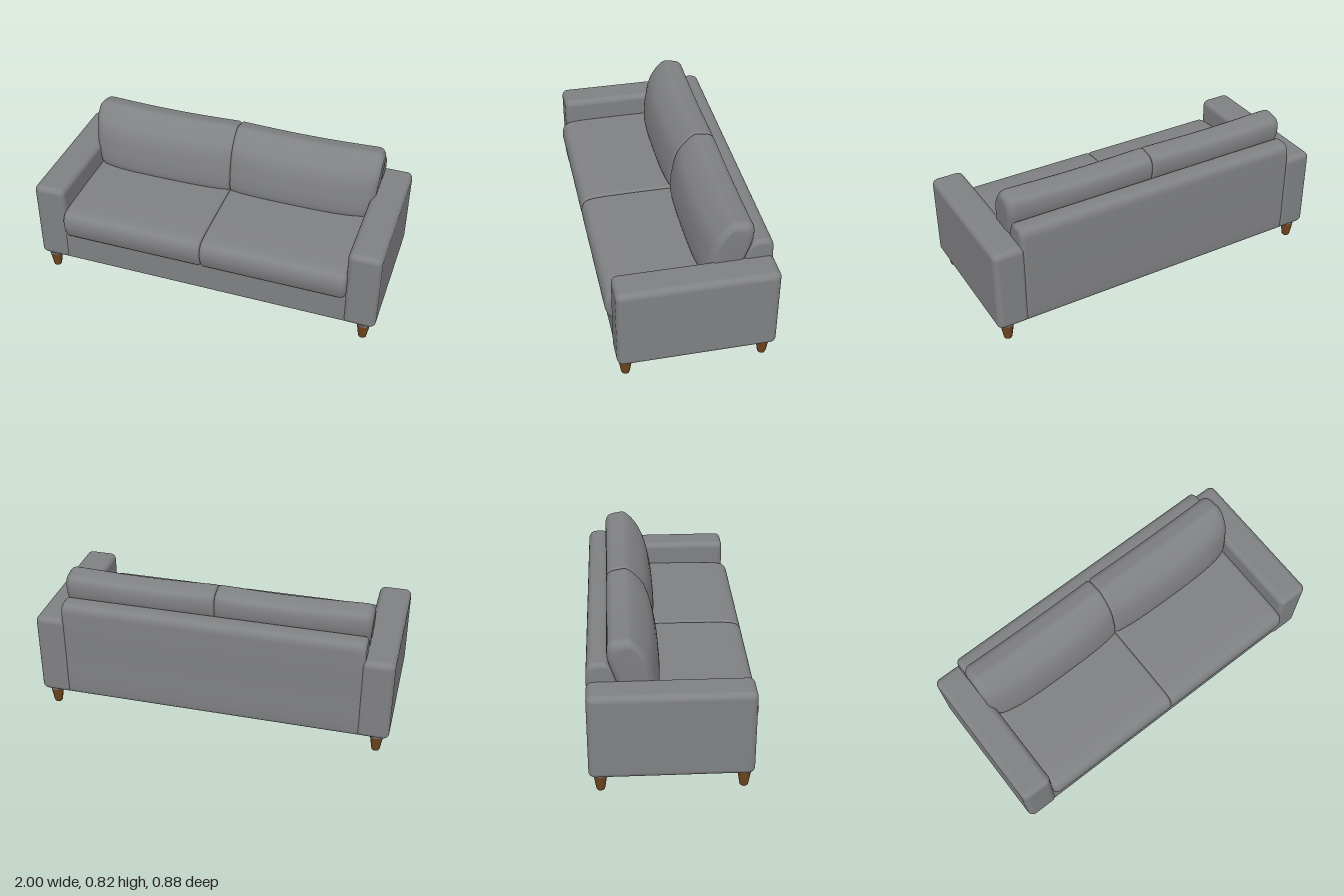
import * as THREE from 'three';
import { RoundedBoxGeometry } from 'three/addons/geometries/RoundedBoxGeometry.js';

// Loft a closed [z, y] profile along x from x0 to x1, with ends rounded by r0 and r1.
// shape(v, u) may move each point; u runs 0..1 along the length.
function loft(profile, x0, x1, r0, r1, shape = () => {}) {
  const n = 72;
  const curve = new THREE.CatmullRomCurve3(profile.map(([z, y]) => new THREE.Vector3(0, y, z)), true, 'centripetal');
  const ring = curve.getPoints(n).slice(0, n);
  const box = new THREE.Box3().setFromPoints(ring);
  const c = box.getCenter(new THREE.Vector3());
  const h = box.getSize(new THREE.Vector3()).multiplyScalar(0.5);

  // stations: [x, inset]
  const stations = [];
  const steps = 6;
  for (let i = 0; i <= steps; i++) {
    const a = (i / steps) * Math.PI / 2;
    stations.push([x0 + r0 * (1 - Math.sin(a)), r0 * (1 - Math.cos(a))]);
  }
  stations.reverse();
  stations.forEach((s, i) => { s[0] = x0 + r0 * (1 - Math.cos((i / steps) * Math.PI / 2)); s[1] = r0 * (1 - Math.sin((i / steps) * Math.PI / 2)); });
  for (let i = 1; i < 24; i++) stations.push([THREE.MathUtils.lerp(x0 + r0, x1 - r1, i / 24), 0]);
  for (let i = 0; i <= steps; i++) {
    const a = (i / steps) * Math.PI / 2;
    stations.push([x1 - r1 * (1 - Math.sin(a)), r1 * (1 - Math.cos(a))]);
  }

  const pos = [], index = [];
  const push = (x, y, z) => {
    const v = new THREE.Vector3(x, y, z);
    shape(v, (x - x0) / (x1 - x0));
    pos.push(v.x, v.y, v.z);
  };
  for (const [x, d] of stations) {
    for (const p of ring) push(x, c.y + (p.y - c.y) * (1 - d / h.y), c.z + (p.z - c.z) * (1 - d / h.z));
  }
  const m = stations.length;
  for (let i = 0; i < m - 1; i++) {
    for (let j = 0; j < n; j++) {
      const k = (j + 1) % n, a = i * n + j, b = a + n, e = i * n + k, f = e + n;
      index.push(a, b, e, b, f, e);
    }
  }
  // end caps
  push(x0, c.y, c.z);
  push(x1, c.y, c.z);
  for (let j = 0; j < n; j++) {
    const k = (j + 1) % n;
    index.push(m * n, j, k, m * n + 1, (m - 1) * n + k, (m - 1) * n + j);
  }
  const g = new THREE.BufferGeometry();
  g.setAttribute('position', new THREE.Float32BufferAttribute(pos, 3));
  g.setIndex(index);
  g.computeVertexNormals();
  return g;
}

export function createModel() {
  const model = new THREE.Group();
  const fabric = new THREE.MeshStandardMaterial({ name: 'grey fabric', color: 0x808183 });
  const wood = new THREE.MeshStandardMaterial({ name: 'brown wood', color: 0x70471f });

  const add = (name, geometry, material, x = 0, y = 0, z = 0) => {
    const mesh = new THREE.Mesh(geometry, material);
    mesh.name = name;
    mesh.position.set(x, y, z);
    model.add(mesh);
    return mesh;
  };

  // Base under the seat
  add('base', new RoundedBoxGeometry(1.72, 0.185, 0.83, 4, 0.018), fabric, 0, 0.2, -0.015);

  // Backrest frame, leaning on its front side
  const backProfile = [
    [-0.2, 0.13], [-0.215, 0.3], [-0.255, 0.47], [-0.29, 0.59], [-0.318, 0.665], [-0.34, 0.687],
    [-0.38, 0.69], [-0.415, 0.683], [-0.433, 0.66], [-0.438, 0.6], [-0.438, 0.35],
    [-0.438, 0.16], [-0.432, 0.12], [-0.41, 0.108], [-0.3, 0.108], [-0.22, 0.11],
  ];
  add('backFrame', loft(backProfile, -0.842, 0.842, 0.025, 0.025), fabric);

  // Seat cushion with a bulging front
  const seatProfile = [
    [0.39, 0.278], [0.418, 0.295], [0.434, 0.335], [0.44, 0.375], [0.433, 0.42], [0.412, 0.446],
    [0.37, 0.457], [0.2, 0.463], [-0.1, 0.463], [-0.24, 0.458], [-0.27, 0.42],
    [-0.27, 0.31], [-0.24, 0.278], [0.1, 0.277],
  ];
  const seat = [0, 0.825, 0.018, 0.03];

  // Back cushion: wider at the top, pinched at its ends, dipping in the middle
  const cushionProfile = [
    [-0.075, 0.448], [-0.058, 0.475], [-0.058, 0.54], [-0.067, 0.6], [-0.083, 0.67], [-0.108, 0.725],
    [-0.15, 0.773], [-0.195, 0.808], [-0.225, 0.82], [-0.265, 0.815], [-0.305, 0.805],
    [-0.326, 0.782], [-0.331, 0.72], [-0.318, 0.66], [-0.285, 0.56], [-0.255, 0.47], [-0.235, 0.445], [-0.15, 0.442],
  ];
  const pillow = (v, u) => {
    const t = THREE.MathUtils.clamp((v.y - 0.45) / 0.3, 0, 1);
    const front = THREE.MathUtils.clamp((v.z + 0.22) / 0.15, 0, 1);
    v.z -= front * (0.045 * u ** 8 + 0.022 * (1 - u) ** 8);
    v.y -= t * t * (0.012 * Math.sin(Math.PI * u) + 0.004 * (1 - u));
    v.x *= 0.962 + 0.038 * Math.sqrt(t);
  };

  for (const side of [1, -1]) {
    const label = side > 0 ? 'left' : 'right';
    const span = (a, b, r0, r1) => (side > 0 ? [a, b, r0, r1] : [-b, -a, r1, r0]);

    add(label + 'SeatCushion', loft(seatProfile, ...span(...seat)), fabric);
    add(label + 'BackCushion', loft(cushionProfile, ...span(0, 0.853, 0.018, 0.045),
      (v, u) => { v.x *= side; pillow(v, side > 0 ? u : 1 - u); v.x *= side; }), fabric);

    // Armrest
    add(label + 'Arm', new RoundedBoxGeometry(0.182, 0.484, 0.848, 6, 0.034), fabric, side * 0.907, 0.348, -0.015);

    // Tapered feet with fabric collars
    for (const [end, z] of [['Front', 0.36], ['Back', -0.38]]) {
      const foot = [[0, 0], [0.017, 0], [0.022, 0.005], [0.025, 0.02], [0.036, 0.092], [0.036, 0.098]]
        .map(([r, y]) => new THREE.Vector2(r, y));
      add(label + end + 'Foot', new THREE.LatheGeometry(foot, 24), wood, side * 0.93, 0, z);
      add(label + end + 'FootCollar', new THREE.CylinderGeometry(0.042, 0.037, 0.018, 24), fabric, side * 0.93, 0.104, z);
    }
  }
  return model;
}
